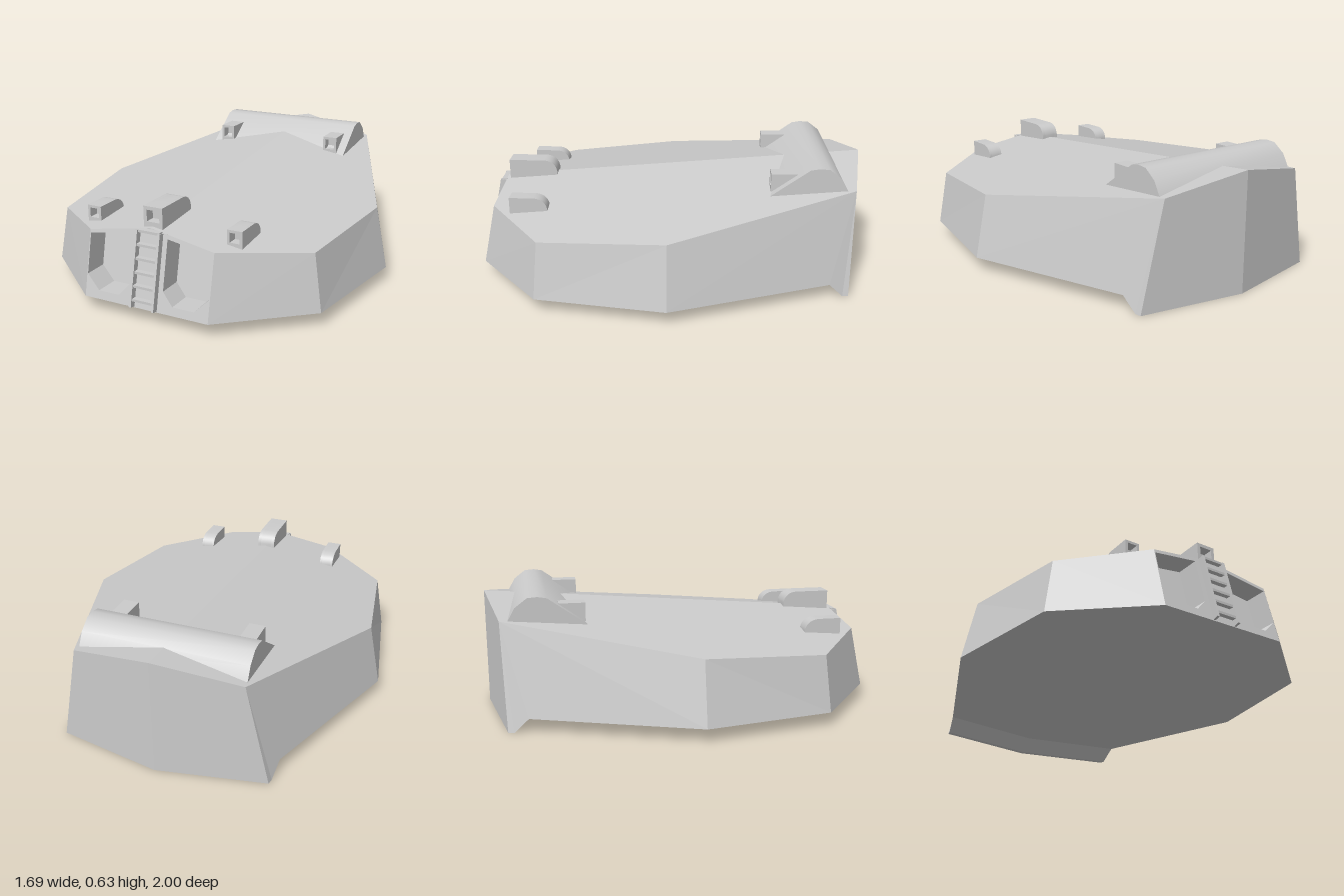
import * as THREE from 'three';
import { toCreasedNormals } from 'three/addons/utils/BufferGeometryUtils.js';

const mat = new THREE.MeshStandardMaterial({ color: 0xcccccc, flatShading: true });
const matSmooth = new THREE.MeshStandardMaterial({ color: 0xcccccc });
const matThin = new THREE.MeshStandardMaterial({ color: 0xcccccc, flatShading: true, side: THREE.DoubleSide });

// Roof planes slope down from a centre ridge; the front plate leans back.
const roofY = (x, z) => 0.513 - 0.082 * z - 0.164 * Math.abs(x);
const frontZ = (y) => 0.97 - 0.222 * (y - 0.07);

function add(parent, name, geometry, material = mat) {
  const mesh = new THREE.Mesh(geometry, material);
  mesh.name = name;
  parent.add(mesh);
  return mesh;
}

// Fans each polygon of the +x half and its mirror image into flat triangles.
function mirroredPolygons(polygons) {
  const pos = [];
  for (const p of polygons) {
    for (let i = 1; i < p.length - 1; i++) {
      pos.push(...p[0], ...p[i], ...p[i + 1]);
      for (const [x, y, z] of [p[0], p[i + 1], p[i]]) pos.push(-x, y, z);
    }
  }
  const g = new THREE.BufferGeometry();
  g.setAttribute('position', new THREE.Float32BufferAttribute(pos, 3));
  g.computeVertexNormals();
  return g;
}

// Extrudes a (z, y) profile across x, centred on the given x.
function extrudeAcross(shape, width, x = 0) {
  const g = new THREE.ExtrudeGeometry(shape, { depth: width, bevelEnabled: false, curveSegments: 8 });
  g.rotateY(-Math.PI / 2);
  g.translate(x + width / 2, 0, 0);
  return toCreasedNormals(g, 0.95);
}

const shapeOf = (pts) => new THREE.Shape(pts.map(([a, b]) => new THREE.Vector2(a, b)));

// Flat shape laid on the leaning front plate, pushed back by depth.
function plate(shape, depth = 0) {
  const g = new THREE.ShapeGeometry(shape);
  const p = g.attributes.position;
  for (let i = 0; i < p.count; i++) p.setZ(i, frontZ(p.getY(i)) - depth);
  g.computeVertexNormals();
  return g;
}

function buildHull(parent) {
  const top = [[0, 0.888], [0.33, 0.9], [0.69, 0.62], [0.78, 0], [0.42, -0.92], [0, -1]]
    .map(([x, z]) => [x, roofY(x, z), z]);
  const low = [[0, 0.07, 0.97], [0.33, 0.07, 0.97], [0.735, 0.07, 0.64], [0.845, 0.07, 0]];
  const lipTop = [0.55, 0.07, -0.8], lipFront = [0.535, 0, -0.87], lipBack = [0.53, 0, -0.9];
  const midTop = [0, 0.07, -0.9], midFront = [0, 0, -0.97], midBack = [0, 0, -1];

  add(parent, 'roof', mirroredPolygons([top]));
  add(parent, 'sideWalls', mirroredPolygons([
    [low[1], low[2], top[2], top[1]],
    [low[2], low[3], top[3], top[2]],
    [top[4], top[3], low[3], lipTop, lipFront, lipBack],
  ]));
  add(parent, 'rearWall', mirroredPolygons([[top[4], lipBack, midBack, top[5]]]));
  add(parent, 'underside', mirroredPolygons([
    [midTop, lipTop, low[3], low[2], low[1], low[0]],
    [midFront, lipFront, lipTop, midTop],
    [midBack, lipBack, lipFront, midFront],
  ]));
}

// Front plate with two alcoves either side of the ladder
function buildFront(parent) {
  const face = shapeOf([[-0.33, 0.07], [0.33, 0.07], [0.33, 0.385], [0, 0.44], [-0.33, 0.385]]);
  const outline = [[0.09, 0.405], [0.09, 0.17], [0.145, 0.11], [0.255, 0.11], [0.326, 0.177], [0.326, 0.368]];
  const depth = 0.12;
  for (const s of [-1, 1]) {
    const pts = outline.map(([x, y]) => [s * x, y]);
    face.holes.push(new THREE.Path(pts.map(([x, y]) => new THREE.Vector2(x, y))));
    const pos = [];
    pts.forEach(([x, y], i) => {
      const [u, v] = pts[(i + 1) % pts.length];
      const a = [x, y, frontZ(y)], b = [u, v, frontZ(v)];
      const c = [u, v, b[2] - depth], d = [x, y, a[2] - depth];
      pos.push(...a, ...b, ...c, ...a, ...c, ...d);
    });
    const walls = new THREE.BufferGeometry();
    walls.setAttribute('position', new THREE.Float32BufferAttribute(pos, 3));
    walls.computeVertexNormals();
    const side = s > 0 ? 'left' : 'right';
    add(parent, side + 'AlcoveWalls', walls, matThin);
    add(parent, side + 'AlcoveBack', plate(shapeOf(pts), depth), matThin);
  }
  add(parent, 'frontPlate', plate(face));
}

function buildLadder(parent) {
  const ladder = new THREE.Group();
  ladder.name = 'ladder';
  parent.add(ladder);
  const lean = -Math.atan(0.222);
  for (const s of [-1, 1]) {
    const rail = add(ladder, 'ladderRail', new THREE.BoxGeometry(0.012, 0.36, 0.034));
    rail.position.set(s * 0.06, 0.253, frontZ(0.253) + 0.014);
    rail.rotation.x = lean;
  }
  for (let i = 0; i < 6; i++) {
    const y = 0.113 + i * 0.063;
    const rung = add(ladder, 'ladderRung', new THREE.BoxGeometry(0.12, 0.012, 0.026));
    rung.position.set(0, y, frontZ(y) + 0.012);
  }
}

// Hooded viewing box with an open square mouth; round is the radius of its back
function buildHood(parent, name, { x, width, front, back, bottom, sill, top, round, endY }) {
  const hood = new THREE.Group();
  hood.name = name;
  parent.add(hood);
  const t = width * 0.17, depth = 0.05;
  const profile = (z) => {
    const s = new THREE.Shape();
    s.moveTo(z, bottom);
    s.lineTo(z, top);
    s.lineTo(back + round, top);
    if (round) s.quadraticCurveTo(back + round * 0.15, top - 0.005, back, endY);
    s.lineTo(back, bottom);
    return s;
  };
  for (const s of [-1, 1]) add(hood, 'hoodCheek', extrudeAcross(profile(front), t, x + s * (width - t) / 2), matSmooth);
  add(hood, 'hoodCore', extrudeAcross(profile(front - depth), width - 2 * t, x), matSmooth);
  for (const [label, y0, y1] of [['hoodLintel', top - t, top], ['hoodSill', bottom, sill]]) {
    const bar = add(hood, label, new THREE.BoxGeometry(width - 2 * t, y1 - y0, depth));
    bar.position.set(x, (y0 + y1) / 2, front - depth / 2);
  }
}

export function createModel() {
  const model = new THREE.Group();
  model.name = 'turret';
  buildHull(model);
  buildFront(model);
  buildLadder(model);

  // Raised fairing across the rear of the roof
  const fairing = shapeOf([[-0.5, 0.487], [-0.69, 0.622], [-0.735, 0.63], [-0.785, 0.626],
    [-0.845, 0.58], [-0.88, 0.517], [-0.86, 0.48], [-0.54, 0.46]]);
  add(model, 'rearFairing', extrudeAcross(fairing, 0.83), matSmooth);

  buildHood(model, 'centreHood', {
    x: 0, width: 0.1, front: 0.87, back: 0.615, bottom: 0.425, sill: 0.462, top: 0.535, round: 0.07, endY: 0.475,
  });
  for (const s of [-1, 1]) {
    const side = s > 0 ? 'left' : 'right';
    buildHood(model, side + 'FrontHood', {
      x: s * 0.378, width: 0.075, front: 0.8, back: 0.61, bottom: 0.375, sill: 0.402, top: 0.462, round: 0.07, endY: 0.405,
    });
    buildHood(model, side + 'RearHood', {
      x: s * 0.33, width: 0.08, front: -0.505, back: -0.635, bottom: 0.488, sill: 0.515, top: 0.585, round: 0, endY: 0.585,
    });
  }
  return model;
}
